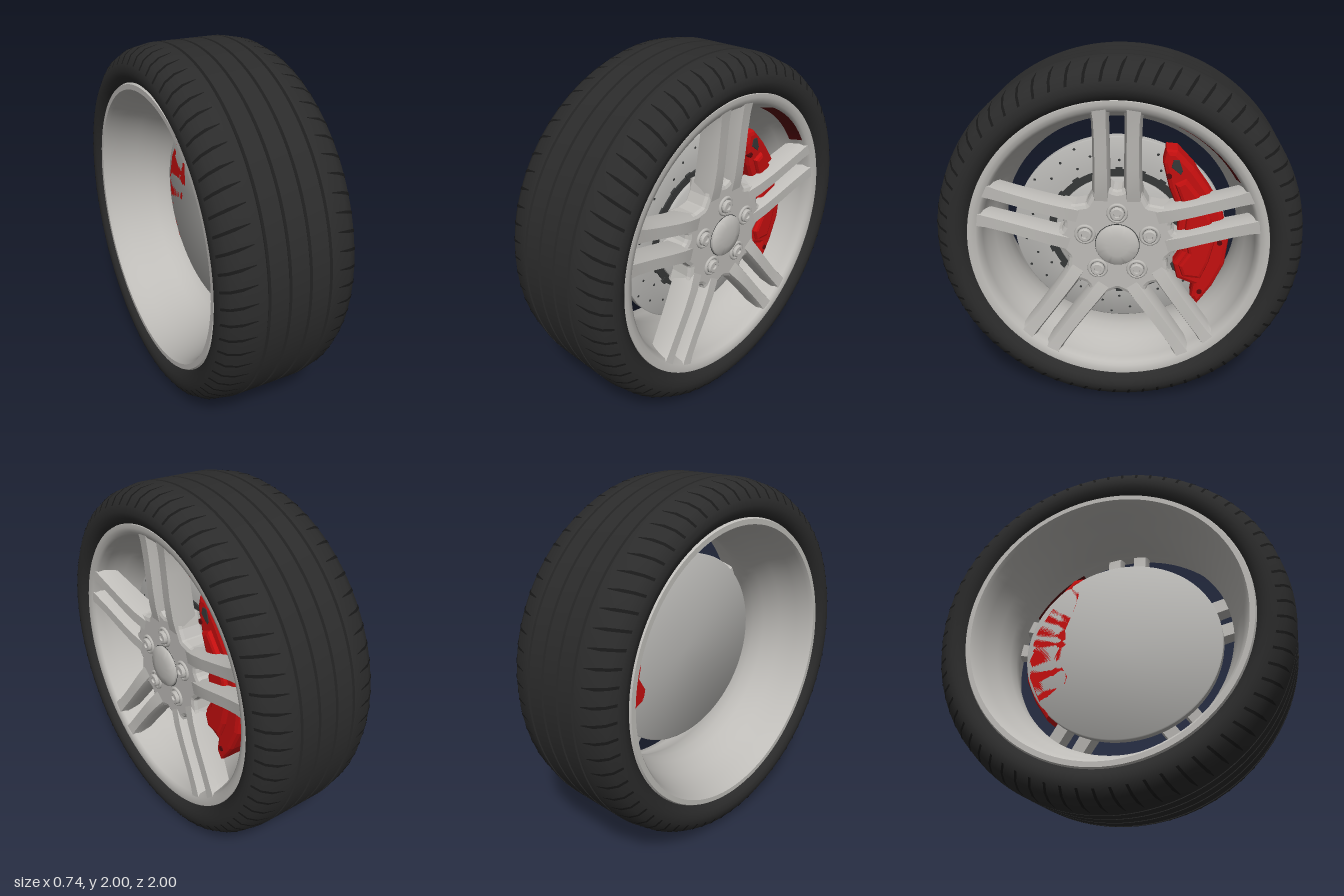
import * as THREE from 'three';
import { mergeGeometries, toCreasedNormals } from 'three/addons/utils/BufferGeometryUtils.js';

const mat = (name, color, side = THREE.FrontSide) => {
  const m = new THREE.MeshStandardMaterial({ color, side });
  m.name = name;
  return m;
};

// Everything is built with the axle along z (outer face +z), then turned to face +x.
const lathe = (pts, segs = 96, start = 0, len = Math.PI * 2) =>
  toCreasedNormals(new THREE.LatheGeometry(pts.map(([r, z]) => new THREE.Vector2(r, z)), segs, start, len)
    .rotateX(Math.PI / 2), 0.7);

// Skin over a list of closed cross-sections
function loft(sections) {
  const n = sections[0].length, index = [];
  for (let s = 0; s < sections.length - 1; s++)
    for (let i = 0; i < n; i++) {
      const a = s * n + i, b = s * n + (i + 1) % n;
      index.push(a, b, b + n, a, b + n, a + n);
    }
  const g = new THREE.BufferGeometry();
  g.setAttribute('position', new THREE.Float32BufferAttribute(sections.flat(2), 3));
  g.setIndex(index);
  return toCreasedNormals(g, 0.5);
}

const outline = pts => new THREE.Shape(pts.map(([x, y]) => new THREE.Vector2(x, y)));

// Bevelled plate between two depths
function plate(shape, back, front, bevel) {
  return new THREE.ExtrudeGeometry(shape, {
    depth: front - back - bevel, bevelEnabled: true, bevelThickness: bevel, bevelSize: bevel,
    bevelOffset: -bevel, bevelSegments: 2, curveSegments: 8,
  }).translate(0, 0, back);
}

export function createModel() {
  const rubber = mat('tyre rubber', 0x2b2b2b);
  const groove = mat('tread groove', 0x191919, THREE.DoubleSide);
  const alloy = mat('alloy', 0xbebcb8);
  const steel = mat('disc steel', 0xb8b7b4);
  const dark = mat('dark metal', 0x363838);
  const red = mat('caliper red', 0xc40f0f);
  const deepRed = mat('deep red', 0x5a080c, THREE.DoubleSide);

  const wheel = new THREE.Group();
  wheel.name = 'wheel';
  const add = (name, geo, material, parent = wheel) => {
    const m = new THREE.Mesh(geo, material);
    m.name = name;
    parent.add(m);
    return m;
  };
  const spokeAngles = [0, 1, 2, 3, 4].map(k => k * Math.PI * 2 / 5);

  // Tyre: shoulder profile mirrored, with four circumferential grooves
  const side = [[0.795, 0.31], [0.815, 0.343], [0.84, 0.362], [0.87, 0.37], [0.905, 0.364],
    [0.95, 0.335], [0.98, 0.285], [0.994, 0.215], [1, 0.185]];
  const grooveAt = [-0.165, -0.055, 0.055, 0.165];
  const tread = grooveAt.flatMap(z =>
    [[1, z - 0.008], [0.98, z - 0.005], [0.98, z + 0.005], [1, z + 0.008]]);
  add('tyre', lathe([...side.map(([r, z]) => [r, -z]), ...tread, ...side.slice().reverse()], 120), rubber);
  for (const z of grooveAt)
    add('treadGroove', lathe([[0.982, z - 0.005], [0.982, z + 0.005]]), groove);

  // Shoulder sipes: thin ribbons following the shoulder
  const sipes = [], path = [side[7], side[6], side[5], side[4]];
  for (const s of [-1, 1])
    for (let k = 0; k < 68; k++) {
      const g = new THREE.PlaneGeometry(1, 1, 1, 3), p = g.attributes.position;
      const a0 = (k + (s > 0 ? 0.5 : 0)) / 68 * Math.PI * 2;
      for (let i = 0; i < p.count; i++) {
        const row = Math.floor(i / 2), [r, z] = path[row];
        const a = a0 + 0.012 * row + (i % 2 ? 1 : -1) * (row === 0 ? 0.002 : 0.008);
        p.setXYZ(i, (r + 0.0015) * Math.cos(a), (r + 0.0015) * Math.sin(a), s * (z + 0.0015));
      }
      g.computeVertexNormals();
      sipes.push(g);
    }
  add('shoulderSipes', mergeGeometries(sipes), groove);

  // Rim lip and barrel
  add('rim', lathe([[0.81, 0.32], [0.805, 0.335], [0.785, 0.336], [0.76, 0.328], [0.745, 0.315], [0.736, 0.27],
    [0.724, 0.22], [0.695, 0.16], [0.672, 0.11], [0.66, 0.04], [0.665, -0.04], [0.70, -0.14], [0.735, -0.24],
    [0.757, -0.32], [0.772, -0.343], [0.80, -0.343], [0.81, -0.325]]), alloy);
  add('barrelPatch', lathe([[0.74, 0.314], [0.731, 0.27], [0.721, 0.235]], 20, Math.PI / 2 + 0.55, 0.58), deepRed);

  // Hub star with a notch at the root of each spoke pair
  const star = spokeAngles.flatMap(t =>
    [[-0.165, 0.235], [-0.138, 0.285], [-0.122, 0.35], [-0.05, 0.35], [-0.04, 0.328], [-0.022, 0.313], [0, 0.308],
      [0.022, 0.313], [0.04, 0.328], [0.05, 0.35], [0.122, 0.35], [0.138, 0.285], [0.165, 0.235]]
      .map(([x, y]) => [x * Math.cos(t) - y * Math.sin(t), x * Math.sin(t) + y * Math.cos(t)]).reverse());
  add('hub', plate(outline(star), 0.135, 0.266, 0.025), alloy);

  // Twin spokes: radius, centre offset, half width, back, front
  const stations = [[0.2, 0.087, 0.05, 0.15, 0.255], [0.27, 0.086, 0.051, 0.15, 0.27], [0.34, 0.084, 0.049, 0.15, 0.285],
    [0.45, 0.082, 0.046, 0.165, 0.298], [0.6, 0.082, 0.045, 0.185, 0.31], [0.7, 0.084, 0.046, 0.2, 0.32],
    [0.755, 0.087, 0.052, 0.2, 0.328], [0.79, 0.092, 0.06, 0.2, 0.332]];
  for (const t of spokeAngles) {
    const pair = new THREE.Group();
    pair.name = 'spokePair';
    pair.rotation.z = t;
    for (const s of [-1, 1])
      add('spoke', loft(stations.map(([r, c, w, b, f]) =>
        [[-w * 0.85, b], [-w, f - 0.04], [-w * 0.68, f], [w * 0.68, f], [w, f - 0.04], [w * 0.85, b]]
          .map(([x, z]) => [s * c + x, r, z]))), alloy, pair);
    // Bolt seat and bolt
    add('boltWell', new THREE.CircleGeometry(0.046, 24).translate(0, 0.184, 0.27), dark, pair);
    add('boltSeat', new THREE.TorusGeometry(0.048, 0.01, 8, 28).translate(0, 0.184, 0.268), alloy, pair);
    add('bolt', lathe([[0.039, 0.26], [0.039, 0.283], [0.032, 0.291], [0.018, 0.291], [0.016, 0.281], [0, 0.281]], 12)
      .translate(0, 0.184, 0), alloy, pair);
    wheel.add(pair);
  }
  add('capGap', new THREE.CircleGeometry(0.122, 48).translate(0, 0, 0.269), dark);
  add('centreCap', lathe([[0.118, 0.26], [0.118, 0.28], [0.109, 0.289], [0.06, 0.298], [0, 0.301]], 48), alloy);

  // Brake disc, hat and drillings, slightly wider than tall
  const brake = new THREE.Group();
  brake.name = 'brake';
  brake.scale.x = 1.07;
  wheel.add(brake);
  add('brakeDisc', lathe([[0, 0.045], [0.55, 0.045], [0.556, 0.05], [0.556, 0.095], [0.55, 0.1], [0.36, 0.1]]),
    steel, brake);
  add('discRing', lathe([[0.374, 0.098], [0.374, 0.11], [0.33, 0.11]]), dark, brake);
  add('discHat', lathe([[0.335, 0.1], [0.333, 0.122], [0.323, 0.13], [0, 0.13]]), steel, brake);
  const lugs = [], holes = [];
  for (let k = 0; k < 20; k++)
    lugs.push(new THREE.BoxGeometry(0.03, 0.035, 0.012).translate(0.37, 0, 0.108).rotateZ(k * Math.PI / 10));
  for (let k = 0; k < 24; k++)
    [0.425, 0.465, 0.5, 0.53].forEach((r, j) => {
      if ((k + j) % 2 === 0)
        holes.push(new THREE.CircleGeometry(0.0075, 8).translate(r, 0, 0.102).rotateZ(k * Math.PI / 12 + j * 0.06));
    });
  add('ringLugs', mergeGeometries(lugs), dark, brake);
  add('drillHoles', mergeGeometries(holes), dark, brake);

  // Caliper body, raised face and fittings
  const caliper = new THREE.Group();
  caliper.name = 'caliper';
  caliper.position.z = 0.05;
  wheel.add(caliper);
  const body = [[0.235, 0.45], [0.25, 0.52], [0.31, 0.515], [0.40, 0.42], [0.48, 0.31], [0.56, 0.18], [0.605, 0.02],
    [0.59, -0.14], [0.53, -0.28], [0.45, -0.4], [0.41, -0.35], [0.42, -0.27], [0.33, -0.235], [0.305, -0.14],
    [0.35, -0.06], [0.32, 0.05], [0.33, 0.16], [0.27, 0.31]];
  add('caliperBody', plate(outline(body.reverse()), 0.02, 0.165, 0.025), red, caliper);
  const face = [[0.30, 0.34], [0.36, 0.37], [0.44, 0.27], [0.5, 0.15], [0.53, 0.02], [0.5, -0.12], [0.46, -0.22],
    [0.36, -0.21], [0.335, -0.14], [0.385, -0.06], [0.36, 0.06], [0.37, 0.16]];
  add('caliperFace', plate(outline(face.reverse()), 0.15, 0.19, 0.02), red, caliper);
  add('caliperSlot', plate(outline([[0.29, 0.47], [0.28, 0.43], [0.33, 0.39], [0.34, 0.41], [0.32, 0.47]]),
    0.16, 0.169, 0.002), dark, caliper);
  for (const [x, y] of [[0.46, -0.31], [0.555, 0.0], [0.5, 0.23], [0.27, 0.38]])
    add('caliperBolt', new THREE.CylinderGeometry(0.015, 0.015, 0.03, 12).rotateX(Math.PI / 2)
      .translate(x, y, 0.155), deepRed, caliper);
  add('brakePad', new THREE.BoxGeometry(0.05, 0.16, 0.03).translate(0.32, 0.1, 0.08), dark, caliper);

  wheel.rotation.y = Math.PI / 2;
  wheel.position.y = 1;
  const model = new THREE.Group();
  model.name = 'wheelAssembly';
  model.add(wheel);
  return model;
}
